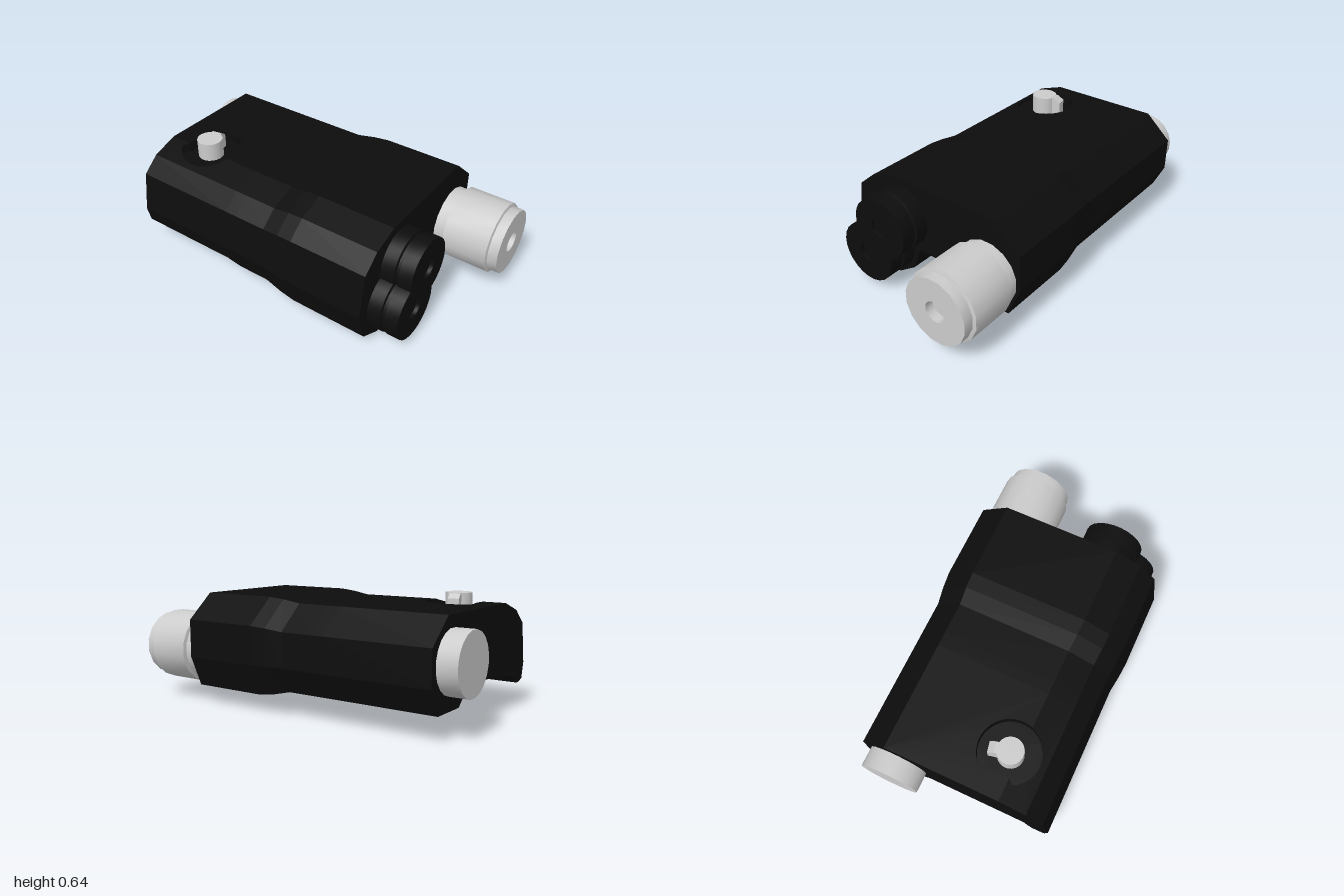
import * as THREE from 'three';
import { toCreasedNormals } from 'three/addons/utils/BufferGeometryUtils.js';

const black = new THREE.MeshStandardMaterial({ color: 0x0d0d0d });
const blackFlat = new THREE.MeshStandardMaterial({ color: 0x0d0d0d, flatShading: true });
const grey = new THREE.MeshStandardMaterial({ color: 0xcccccc });

// Housing cross-sections, counter-clockwise seen from the front
const FRONT = [[-0.38, 0], [-0.27, 0.005], [-0.16, 0.08], [-0.105, 0.22], [0.17, 0.22], [0.26, 0.1], [0.49, 0.1],
  [0.56, 0.27], [0.56, 0.48], [0.4, 0.62], [-0.27, 0.62], [-0.42, 0.57], [-0.52, 0.485], [-0.56, 0.24], [-0.51, 0.07]];
const MID = [[-0.38, 0.05], [-0.28, 0.055], [-0.18, 0.11], [-0.12, 0.22], [0.17, 0.22], [0.26, 0.135], [0.47, 0.135],
  [0.535, 0.27], [0.535, 0.46], [0.385, 0.595], [-0.26, 0.595], [-0.41, 0.545], [-0.505, 0.465], [-0.54, 0.24], [-0.5, 0.11]];
const REAR = MID.map((p) => [...p]);
[[-0.48, 0.135], [-0.45, 0.135], [-0.42, 0.17], [-0.4, 0.22]].forEach((p, i) => { REAR[i] = p; });
REAR[14] = [-0.52, 0.15];
const mix = (a, b, t) => a.map((p, i) => [p[0] + (b[i][0] - p[0]) * t, p[1] + (b[i][1] - p[1]) * t]);

// Height of the rear top surface: flat, then a slope toward -x
const topY = (x) => 0.595 - Math.max(0, -0.26 - x) / 3;
const FLOOR = 0.54;
const KNOB = { x: -0.205, z: -0.64, r: 0.17 };

function add(group, name, geometry, material) {
  const mesh = new THREE.Mesh(geometry, material);
  mesh.name = name;
  group.add(mesh);
  return mesh;
}

function meshFrom(positions) {
  const g = new THREE.BufferGeometry();
  g.setAttribute('position', new THREE.Float32BufferAttribute(positions, 3));
  g.computeVertexNormals();
  return g;
}

// Loft through the sections; the rear top bands are left to the recessed top panels
function housingShell() {
  const stations = [[0.62, FRONT], [0.17, FRONT], [0.08, mix(FRONT, MID, 0.35)], [-0.02, MID],
    [-0.21, MID], [-0.28, REAR], [-0.89, REAR]];
  const out = [];
  const n = FRONT.length;
  for (let s = 0; s < stations.length - 1; s++) {
    const [za, A] = stations[s], [zb, B] = stations[s + 1];
    for (let i = 0; i < n; i++) {
      if (s === stations.length - 2 && (i === 9 || i === 10)) continue;
      const j = (i + 1) % n;
      out.push(...A[i], za, ...B[i], zb, ...A[j], za, ...A[j], za, ...B[i], zb, ...B[j], zb);
    }
  }
  return meshFrom(out);
}

const outline = (pts) => new THREE.ShapeGeometry(new THREE.Shape(pts.map((p) => new THREE.Vector2(p[0], p[1]))));

// Horizontal panel from [x, z] points, raised to a height rule
function panel(pts, height) {
  const g = outline(pts.map(([x, z]) => [x, -z])).rotateX(-Math.PI / 2);
  const p = g.attributes.position;
  for (let i = 0; i < p.count; i++) p.setY(i, height(p.getX(i)));
  g.computeVertexNormals();
  return g;
}

function arc(from, to, steps) {
  return Array.from({ length: steps + 1 }, (_, i) => {
    const a = from + (to - from) * i / steps;
    return [KNOB.x + KNOB.r * Math.cos(a), KNOB.z + KNOB.r * Math.sin(a)];
  });
}

// Revolve [radius, z] points about the z axis
function turned(profile, sides, x, y) {
  const g = new THREE.LatheGeometry(profile.map((p) => new THREE.Vector2(p[0], p[1])), sides, Math.PI / sides);
  return toCreasedNormals(g.rotateX(Math.PI / 2), 0.6).translate(x, y, 0);
}

export function createModel() {
  const model = new THREE.Group();
  model.name = 'twinLensModule';

  // Housing
  const housing = new THREE.Group();
  housing.name = 'housing';
  model.add(housing);
  add(housing, 'housingShell', housingShell(), blackFlat);
  add(housing, 'frontFace', outline(FRONT).translate(0, 0, 0.62), blackFlat);
  add(housing, 'rearFace', outline(REAR.map(([x, y]) => [-x, y])).rotateY(Math.PI).translate(0, 0, -0.89), blackFlat);

  // Top panels on both sides of the crease, cut around the knob recess
  const crease = Math.acos((-0.26 - KNOB.x) / KNOB.r);
  const rightEdge = [[-0.26, -0.76], [-0.16, -0.76], ...arc(-Math.PI / 3, crease, 18)];
  const leftEdge = [...arc(crease, Math.PI * 4 / 3, 14), [-0.26, -0.76]];
  add(housing, 'topPanel',
    panel([[-0.26, -0.89], ...rightEdge, [-0.26, -0.28], [0.385, -0.28], [0.385, -0.89]], topY), blackFlat);
  add(housing, 'topSlope',
    panel([[-0.26, -0.28], ...leftEdge, [-0.26, -0.89], [-0.41, -0.89], [-0.41, -0.28]], topY), blackFlat);

  // Recess wall and floor
  const rim = [...rightEdge, ...leftEdge.slice(1, -1)];
  const wall = [];
  rim.forEach(([x, z], i) => {
    const [u, w] = rim[(i + 1) % rim.length];
    wall.push(x, topY(x), z, u, topY(u), w, x, FLOOR, z, u, topY(u), w, u, FLOOR, w, x, FLOOR, z);
  });
  const wallMaterial = blackFlat.clone();
  wallMaterial.side = THREE.DoubleSide;
  add(housing, 'recessWall', meshFrom(wall), wallMaterial);
  add(housing, 'recessFloor', panel(rim, () => FLOOR), blackFlat);

  // Grooved lens barrels
  const barrel = [[0, 0.6], [0.172, 0.6], [0.172, 0.695], [0.158, 0.7], [0.158, 0.715], [0.172, 0.72],
    [0.172, 0.795], [0.055, 0.795], [0.055, 0.775], [0, 0.775]];
  add(model, 'upperLensBarrel', turned(barrel, 24, -0.21, 0.403), black);
  add(model, 'lowerLensBarrel', turned(barrel, 24, -0.318, 0.212), black);

  // Front emitter tube with a small bore, and rear cap
  add(model, 'emitterTube', turned([[0, 0.58], [0.183, 0.58], [0.183, 0.68], [0.203, 0.685], [0.203, 0.94],
    [0.185, 0.945], [0.185, 1], [0.058, 1], [0.058, 0.95], [0, 0.95]], 16, 0.358, 0.297), grey);
  add(model, 'rearCap', turned([[0, -1], [0.163, -1], [0.163, -0.87], [0, -0.87]], 20, 0.338, 0.37), grey);

  // Selector knob with a sloped pointer
  const knob = new THREE.Group();
  knob.name = 'selectorKnob';
  knob.position.set(-0.212, 0, -0.643);
  knob.rotation.y = 0.2;
  model.add(knob);
  add(knob, 'knobPost', new THREE.CylinderGeometry(0.072, 0.072, 0.105, 20).translate(0, FLOOR + 0.0525, 0), grey);
  const pointer = new THREE.Shape([[0.03, FLOOR], [0.115, FLOOR], [0.115, 0.618], [0.08, 0.643], [0.03, 0.643]]
    .map((p) => new THREE.Vector2(p[0], p[1])));
  add(knob, 'knobPointer',
    new THREE.ExtrudeGeometry(pointer, { depth: 0.06, bevelEnabled: false }).translate(0, 0, -0.03), grey);

  return model;
}
